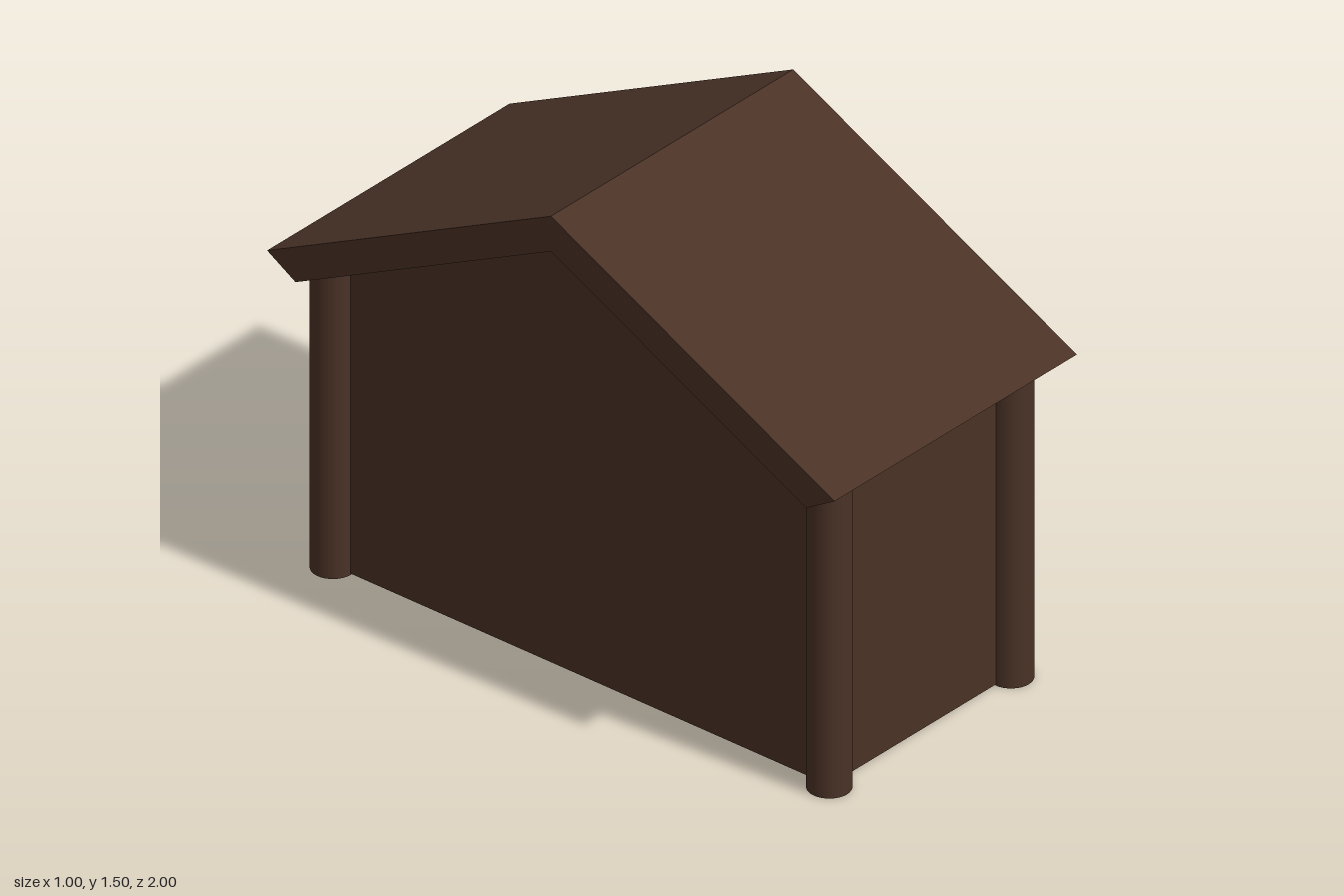
import * as THREE from 'three';

// Extrudes a side profile of [z, y] points along x, centred on x = 0
function extrudeAlongX(profile, width, material, name) {
  const shape = new THREE.Shape(profile.map(([z, y]) => new THREE.Vector2(-z, y)));
  const geometry = new THREE.ExtrudeGeometry(shape, { depth: width, bevelEnabled: false });
  geometry.translate(0, 0, -width / 2);
  geometry.rotateY(Math.PI / 2);
  const mesh = new THREE.Mesh(geometry, material);
  mesh.name = name;
  return mesh;
}

export function createModel() {
  const model = new THREE.Group();
  model.name = 'gabledHut';

  const wood = new THREE.MeshStandardMaterial({ color: 0x4a3226 });
  wood.name = 'dark brown wood';

  // Gabled body, its top meeting the underside of the roof
  model.add(extrudeAlongX(
    [[-0.875, 0.004], [0.875, 0.004], [0.875, 0.953], [0, 1.39], [-0.875, 0.953]],
    0.75, wood, 'walls'));

  // Thick roof with bevelled eaves
  model.add(extrudeAlongX(
    [[-1, 1], [-0.9, 0.94], [0, 1.39], [0.9, 0.94], [1, 1], [0, 1.5]],
    1, wood, 'roof'));

  // Round corner posts, their tops hidden inside the roof
  const postHeight = 0.98;
  const postGeometry = new THREE.CylinderGeometry(0.0625, 0.0625, postHeight, 32);
  for (const x of [-0.375, 0.375]) {
    for (const z of [-0.875, 0.875]) {
      const post = new THREE.Mesh(postGeometry, wood);
      post.position.set(x, postHeight / 2, z);
      post.name = (z > 0 ? 'front' : 'back') + (x > 0 ? 'Left' : 'Right') + 'Post';
      model.add(post);
    }
  }

  return model;
}
